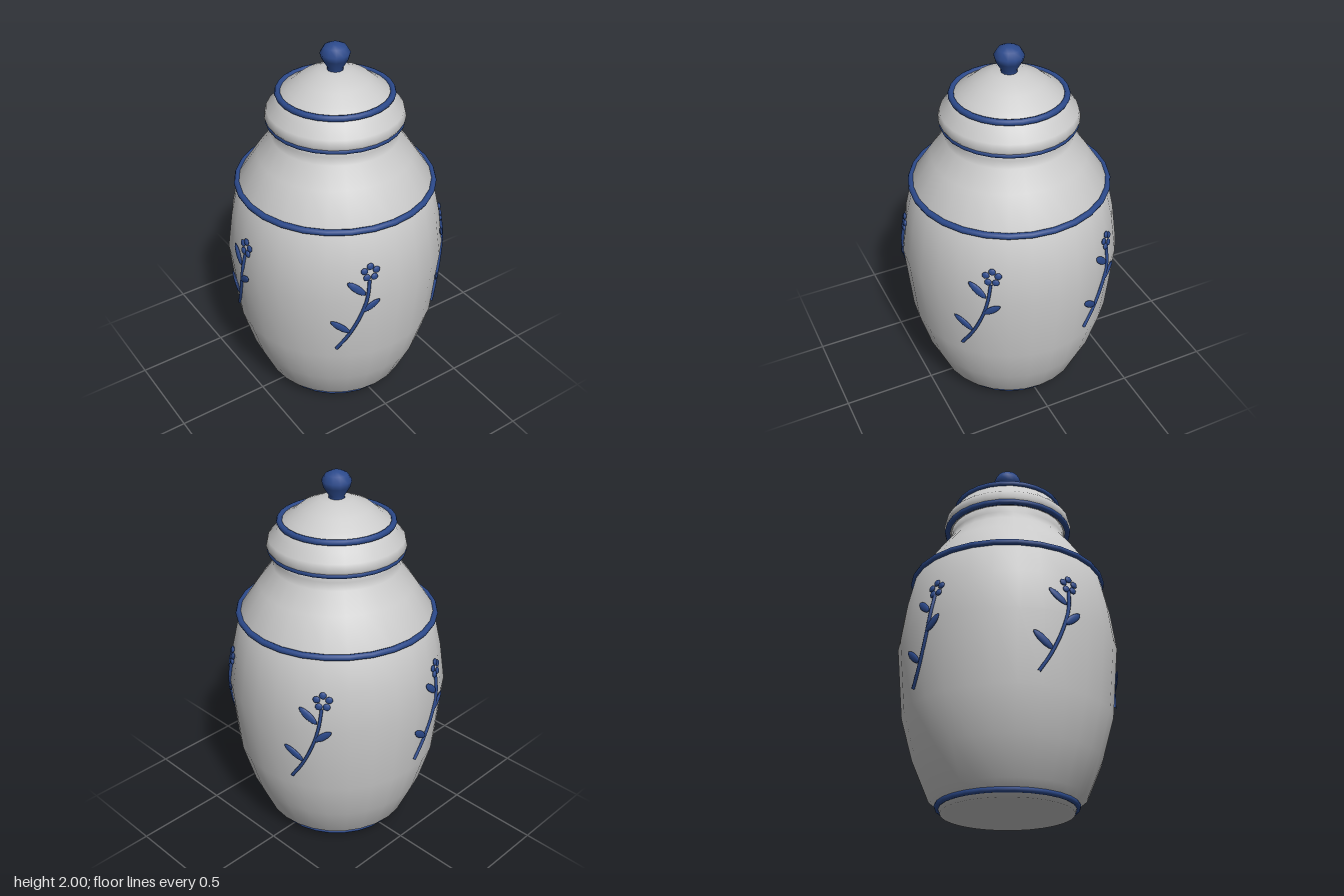
import * as THREE from 'three';

const SEGMENTS = 28;
const grey = new THREE.MeshStandardMaterial({ color: 0xcccccc });
const blue = new THREE.MeshStandardMaterial({ color: 0x2c4a8c });

// Profiles as [radius, height]
const BODY = [
  [0, 0], [0.335, 0], [0.345, 0.03], [0.4, 0.075], [0.48, 0.26], [0.542, 0.48], [0.577, 0.86],
  [0.548, 1.07], [0.507, 1.25], [0.4, 1.41], [0.325, 1.51], [0.315, 1.55], [0.315, 1.62], [0, 1.62],
];
const LID = [
  [0.3, 1.59], [0.338, 1.59], [0.355, 1.62], [0.345, 1.66], [0.305, 1.7], [0.282, 1.745],
  [0.235, 1.77], [0.175, 1.82], [0.085, 1.86], [0, 1.865],
];
const KNOB = [
  [0.042, 1.85], [0.04, 1.875], [0.068, 1.92], [0.076, 1.95], [0.056, 1.983], [0.025, 1.998], [0, 2],
];

// Sprig layout as [distance round the jar, height]
const STEM = [[-0.152, 0.545], [-0.091, 0.64], [-0.033, 0.77], [0, 0.89], [0.013, 0.99]];
const LEAVES = [
  [[-0.083, 0.66], [-0.183, 0.745]],
  [[-0.024, 0.8], [0.062, 0.868]],
  [[-0.008, 0.905], [-0.1, 0.985]],
];
const FLOWER = [0.018, 1.027];

function add(parent, name, geometry, material) {
  const mesh = new THREE.Mesh(geometry, material);
  mesh.name = name;
  parent.add(mesh);
  return mesh;
}

function lathe(profile, segments) {
  return new THREE.LatheGeometry(profile.map(([r, y]) => new THREE.Vector2(r, y)), segments);
}

// Outer radius of the body at a given height
function bodyRadius(y) {
  const i = BODY.findIndex(([, h], k) => k > 1 && h >= y);
  const [r0, y0] = BODY[i - 1];
  const [r1, y1] = BODY[i];
  return r0 + ((r1 - r0) * (y - y0)) / (y1 - y0);
}

// Point on the body surface, u round the jar and y up, lifted outwards
function onBody([u, y], lift = 0) {
  const a = u / 0.56;
  const r = bodyRadius(y) + lift;
  return new THREE.Vector3(Math.sin(a) * r, y, Math.cos(a) * r);
}

// Flattened ellipsoid lying on the body
function pad(parent, name, [u, y], angle, length, width) {
  const mesh = add(parent, name, new THREE.SphereGeometry(1, 10, 8), blue);
  const slope = (bodyRadius(y + 0.02) - bodyRadius(y - 0.02)) / 0.04;
  mesh.position.copy(onBody([u, y], 0.004));
  mesh.rotation.set(-Math.atan(slope) * -1, u / 0.56, angle, 'YXZ');
  mesh.scale.set(length / 2, width / 2, 0.009);
}

function createSprig() {
  const sprig = new THREE.Group();
  sprig.name = 'flowerSprig';
  const curve = new THREE.CatmullRomCurve3(STEM.map((p) => onBody(p, 0.003)));
  add(sprig, 'stem', new THREE.TubeGeometry(curve, 16, 0.009, 6), blue);
  for (const [[u0, y0], [u1, y1]] of LEAVES) {
    const length = Math.hypot(u1 - u0, y1 - y0);
    pad(sprig, 'leaf', [(u0 + u1) / 2, (y0 + y1) / 2], Math.atan2(y1 - y0, u1 - u0), length, 0.04);
  }
  for (let i = 0; i < 5; i++) {
    const a = Math.PI / 2 + (i * Math.PI * 2) / 5;
    const centre = [FLOWER[0] + Math.cos(a) * 0.033, FLOWER[1] + Math.sin(a) * 0.033];
    pad(sprig, 'petal', centre, a, 0.038, 0.036);
  }
  return sprig;
}

export function createModel() {
  const jar = new THREE.Group();
  jar.name = 'liddedJar';
  add(jar, 'body', lathe(BODY, SEGMENTS), grey);
  add(jar, 'lid', lathe(LID, SEGMENTS), grey);
  add(jar, 'knob', lathe(KNOB, 12), blue);

  // Painted bands as [name, radius, height]
  const bands = [
    ['footBand', 0.348, 0.035], ['shoulderBand', 0.51, 1.25],
    ['lidRimBand', 0.336, 1.598], ['lidTopBand', 0.285, 1.745],
  ];
  for (const [name, radius, y] of bands) {
    const geometry = new THREE.TorusGeometry(radius, 0.016, 8, SEGMENTS).rotateX(Math.PI / 2);
    add(jar, name, geometry, blue).position.y = y;
  }

  // Five sprigs round the belly
  for (let i = 0; i < 5; i++) {
    const sprig = createSprig();
    sprig.rotation.y = -Math.PI / 2 + (i * Math.PI * 2) / 5;
    jar.add(sprig);
  }
  return jar;
}
